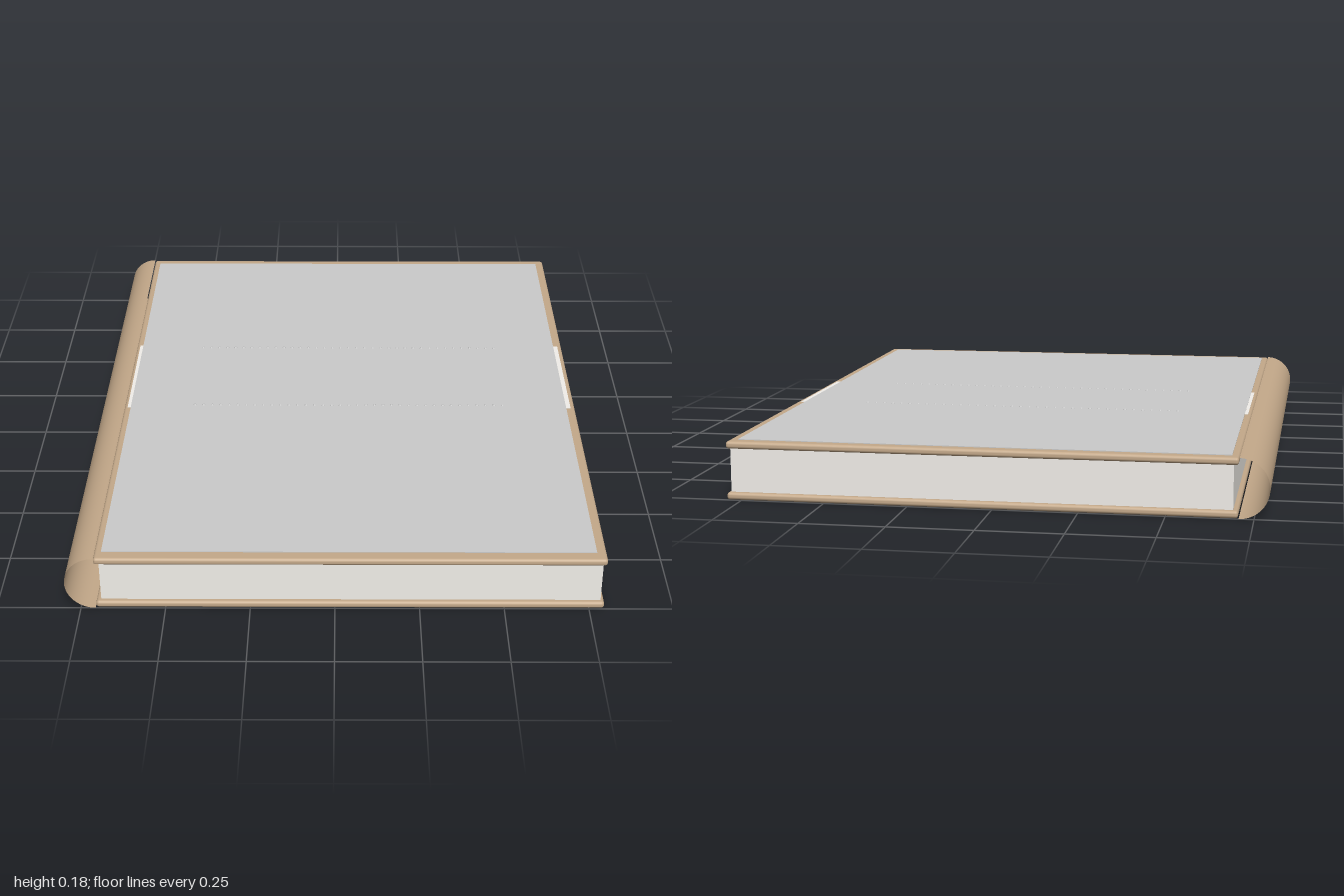
import * as THREE from 'three';
import { RoundedBoxGeometry } from 'three/addons/geometries/RoundedBoxGeometry.js';

const CX = 0.045; // centre of the covers in x; the spine fills the rest

export function createModel() {
  const book = new THREE.Group();
  book.name = 'book';

  const leather = new THREE.MeshStandardMaterial({ color: 0xc4a98a });
  const leatherThin = new THREE.MeshStandardMaterial({ color: 0xc4a98a, side: THREE.DoubleSide });
  const paper = new THREE.MeshStandardMaterial({ color: 0xf2efea });
  const grey = new THREE.MeshStandardMaterial({ color: 0xcccccc });

  const add = (name, geometry, material, x, y, z) => {
    const mesh = new THREE.Mesh(geometry, material);
    mesh.name = name;
    mesh.position.set(x, y, z);
    book.add(mesh);
    return mesh;
  };

  // Two boards with softly rounded edges
  const board = new RoundedBoxGeometry(1.5, 0.022, 2, 3, 0.009);
  add('backCover', board, leather, CX, 0.011, 0);
  add('frontCover', board, leather, CX, 0.164, 0);

  // Page block, set in from the boards
  add('pages', new THREE.BoxGeometry(1.475, 0.135, 1.97), paper, CX + 0.002, 0.0875, 0);

  // Open half-round spine
  const spine = new THREE.CylinderGeometry(0.0875, 0.0875, 2, 32, 1, true, Math.PI, Math.PI);
  spine.rotateX(Math.PI / 2);
  add('spine', spine, leatherThin, -0.7065, 0.0875, 0);

  // Pale band peeking out on both sides of the cover panel
  add('labelBand', new THREE.BoxGeometry(1.475, 0.004, 0.43), paper, CX - 0.002, 0.1744, -0.085);
  add('coverPanel', new THREE.BoxGeometry(1.45, 0.005, 1.93), grey, 0.041, 0.1746, -0.002);

  // Two rows of small studs across the panel
  const studs = new THREE.Group();
  studs.name = 'studs';
  const studGeometry = new THREE.SphereGeometry(0.006, 8, 6);
  const count = 37;
  for (const z of [-0.285, 0.115]) {
    for (let i = 0; i < count; i++) {
      const stud = new THREE.Mesh(studGeometry, grey);
      stud.name = 'stud';
      stud.position.set(-0.47 + (1.025 * i) / (count - 1), 0.175, z);
      studs.add(stud);
    }
  }
  book.add(studs);

  return book;
}
